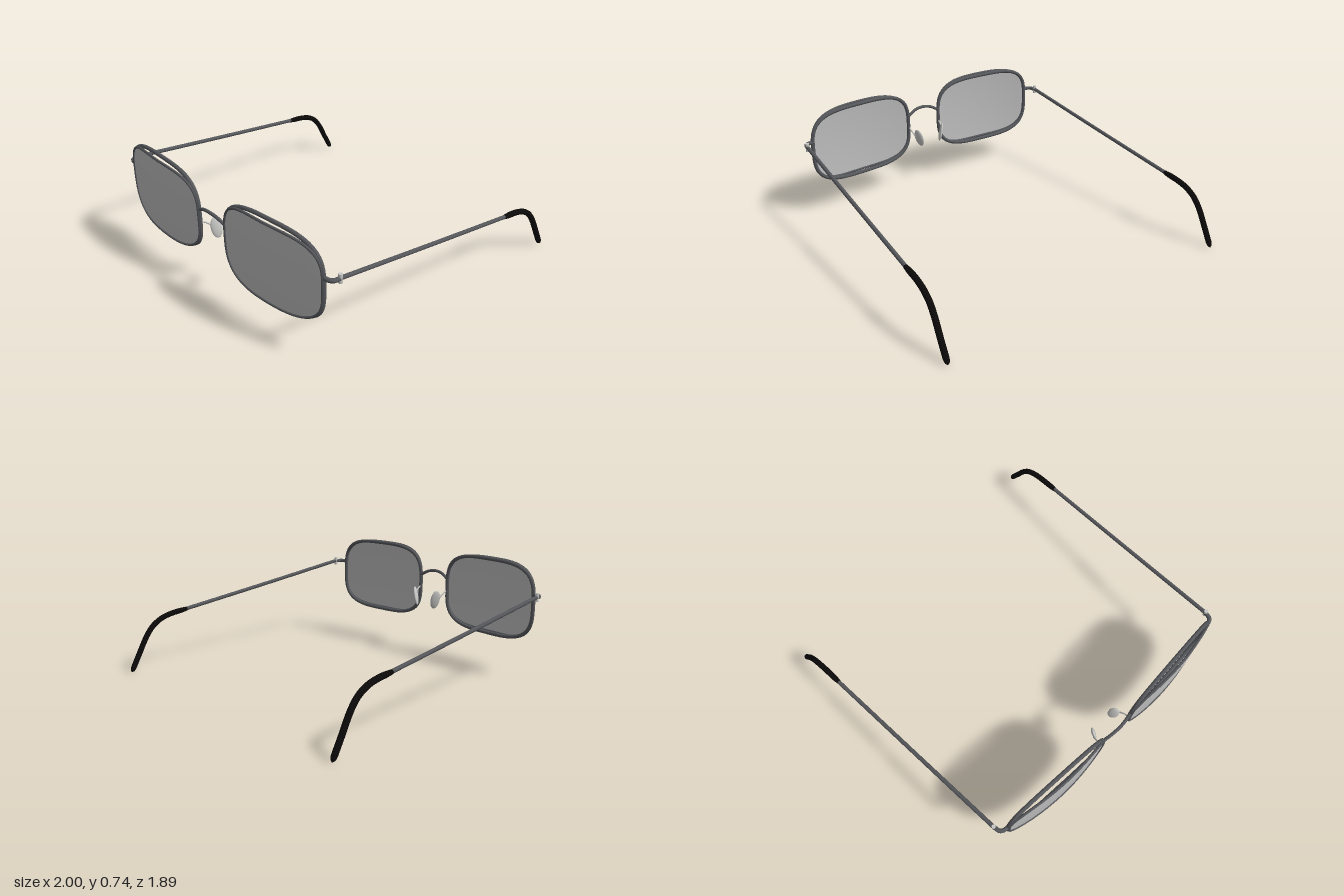
import * as THREE from 'three';

const mat = (name, color, side = THREE.FrontSide) => {
  const m = new THREE.MeshStandardMaterial({ color, side });
  m.name = name;
  return m;
};
const V = (x, y, z) => new THREE.Vector3(x, y, z);

const CX = 0.49, CY = 0.486, HW = 0.368, HH = 0.248;

// Rounded-rectangle outline of one lens, as offsets from its centre
function outline(a) {
  const p = 2 / 3.4, c = Math.cos(a), s = Math.sin(a);
  return [HW * Math.sign(c) * Math.abs(c) ** p, HH * Math.sign(s) * Math.abs(s) ** p];
}
// Depth of the rim plane, and of the bulging lens in front of it
const rimZ = (ax) => 0.891 - (ax - CX) * 0.06;
const lensZ = (ax, dy) => {
  const u = (ax - CX) / HW, v = dy / HH;
  return rimZ(ax) + 0.045 * (1 - u * u) + 0.008 * (1 - v * v);
};

function loopCurve(side, depth) {
  const pts = [];
  for (let i = 0; i < 64; i++) {
    const [dx, dy] = outline((i / 64) * Math.PI * 2);
    const x = side * CX + dx;
    pts.push(V(x, CY + dy, depth(side * x, dy)));
  }
  return new THREE.CatmullRomCurve3(pts, true);
}

// Tube whose radius follows a rule along its length, with closed ends
function taperedTube(curve, segs, radius, sides = 14) {
  const geo = new THREE.TubeGeometry(curve, segs, 1, sides);
  const pos = geo.attributes.position, p = V(0, 0, 0);
  for (let i = 0; i <= segs; i++) {
    const c = curve.getPointAt(i / segs);
    for (let j = 0; j <= sides; j++) {
      const k = i * (sides + 1) + j;
      p.fromBufferAttribute(pos, k).sub(c).multiplyScalar(radius(i / segs)).add(c);
      pos.setXYZ(k, p.x, p.y, p.z);
    }
  }
  geo.computeVertexNormals();
  return geo;
}

export function createModel() {
  const root = new THREE.Group();
  root.name = 'eyeglasses';
  const metal = mat('dark metal', 0x55575b);
  const glass = mat('grey lens', 0xbcbcbc, THREE.DoubleSide);
  const pale = mat('pale fittings', 0xc8c8c6);
  const black = mat('black tip', 0x0c0909);

  const add = (parent, name, geo, m) => {
    const mesh = new THREE.Mesh(geo, m);
    mesh.name = name;
    parent.add(mesh);
    return mesh;
  };
  const wire = (pts, r, segs = 24) =>
    new THREE.TubeGeometry(new THREE.CatmullRomCurve3(pts), segs, r, 10);

  // Bridge
  add(root, 'bridge', wire([V(-0.118, 0.545, 0.912), V(-0.06, 0.575, 0.924), V(0, 0.584, 0.929),
    V(0.06, 0.575, 0.924), V(0.118, 0.545, 0.912)], 0.01, 32), metal);

  for (const s of [1, -1]) {
    const half = new THREE.Group();
    half.name = s > 0 ? 'leftHalf' : 'rightHalf';
    root.add(half);

    // Rim behind, and thin edge wire around the bulging lens
    add(half, 'rim', new THREE.TubeGeometry(loopCurve(s, rimZ), 96, 0.0125, 10, true), metal);
    add(half, 'lensEdge', new THREE.TubeGeometry(loopCurve(s, lensZ), 96, 0.008, 8, true), metal);

    // Curved lens
    const disc = new THREE.RingGeometry(0, 1, 80, 10);
    const pos = disc.attributes.position;
    for (let i = 0; i < pos.count; i++) {
      const r = Math.hypot(pos.getX(i), pos.getY(i));
      const [dx, dy] = outline(Math.atan2(pos.getY(i), pos.getX(i)));
      const x = s * CX + dx * r;
      pos.setXYZ(i, x, CY + dy * r, lensZ(s * x, dy * r));
    }
    disc.computeVertexNormals();
    add(half, 'lens', disc, glass);

    // Nose pad on its wire arm
    add(half, 'noseArm', wire([V(s * 0.12, 0.46, 0.902), V(s * 0.116, 0.44, 0.87),
      V(s * 0.108, 0.415, 0.845), V(s * 0.09, 0.405, 0.832)], 0.005), pale);
    const pad = add(half, 'nosePad', new THREE.SphereGeometry(1, 24, 16), pale);
    pad.scale.set(0.012, 0.066, 0.034);
    pad.position.set(s * 0.089, 0.404, 0.828);
    pad.rotation.set(0.1, s * 0.48, s * -0.2, 'YZX');

    // End piece wrapping round to the hinge
    add(half, 'endPiece', wire([V(s * 0.86, 0.553, 0.868), V(s * 0.885, 0.553, 0.866),
      V(s * 0.908, 0.553, 0.852), V(s * 0.917, 0.553, 0.815)], 0.013), metal);
    const hinge = add(half, 'hinge', new THREE.CylinderGeometry(0.012, 0.012, 0.054, 14), pale);
    hinge.position.set(s * 0.918, 0.554, 0.812);

    // Temple arm
    add(half, 'temple', wire([V(s * 0.918, 0.555, 0.81), V(s * 0.943, 0.46, 0.14),
      V(s * 0.968, 0.367, -0.54)], 0.0125, 12), metal);

    // Bent ear tip with rounded ends
    const tip = new THREE.CatmullRomCurve3([V(s * 0.967, 0.369, -0.52), V(s * 0.97, 0.355, -0.63),
      V(s * 0.973, 0.335, -0.7), V(s * 0.976, 0.295, -0.765), V(s * 0.979, 0.235, -0.815),
      V(s * 0.982, 0.12, -0.878), V(s * 0.983, 0.004, -0.94)]);
    const radius = (t) => 0.018 * Math.min(1, 0.78 + t * 3) *
      Math.sqrt(Math.max(0, 1 - Math.max(0, (t - 0.93) / 0.07) ** 2));
    add(half, 'earTip', taperedTube(tip, 60, radius), black);
    const cap = add(half, 'earTipCollar', new THREE.SphereGeometry(0.0142, 14, 10), black);
    cap.position.set(s * 0.967, 0.369, -0.52);
  }
  return root;
}
